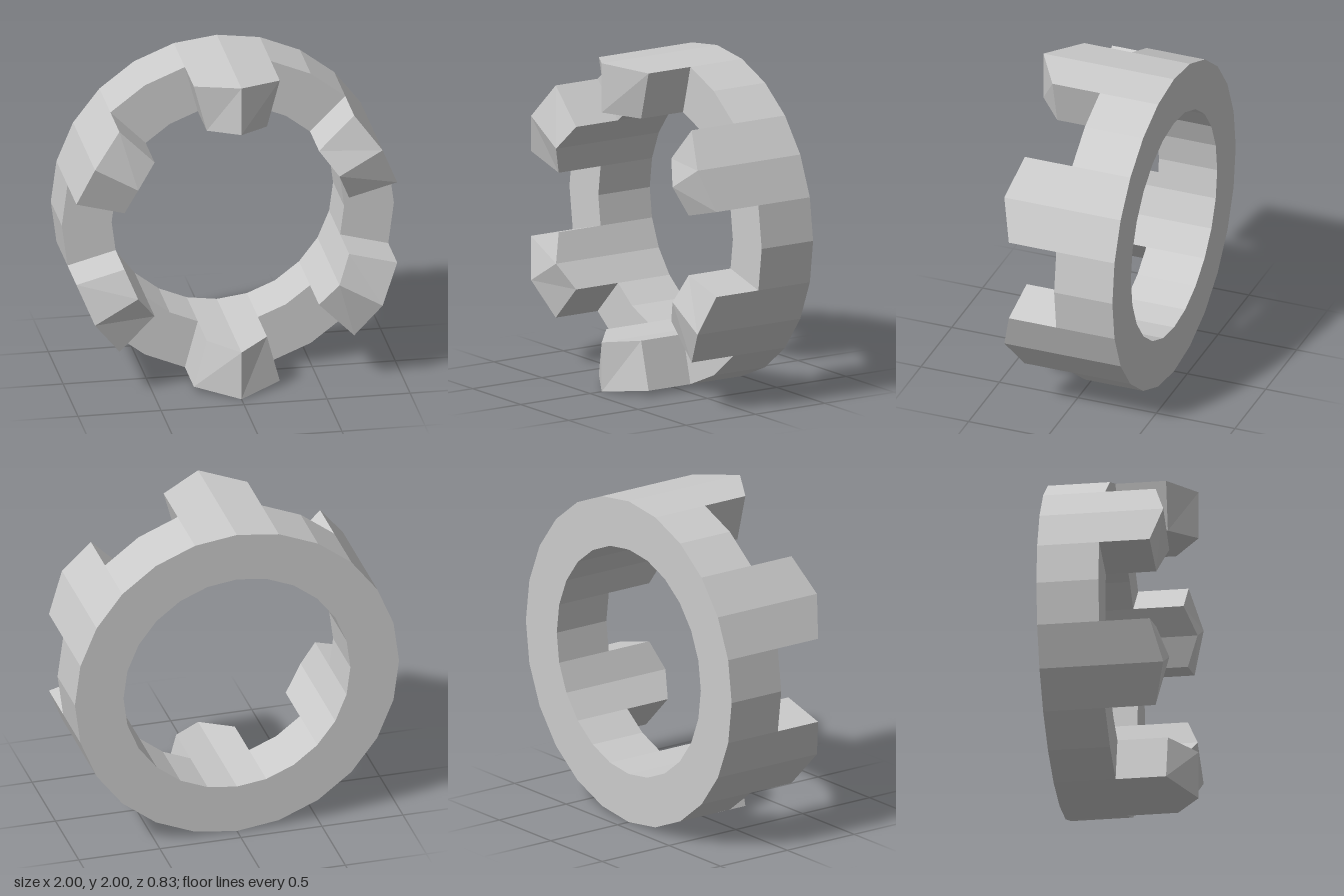
import * as THREE from 'three';

const SIDES = 24, OUTER = 1, INNER = 0.7;
const BACK = -0.416, SEAT = -0.045, SHOULDER = 0.257;

// Collects quads (corners counter-clockwise from outside) into a flat shaded mesh.
function quadMesh(name, quads) {
  const pos = [];
  for (const [a, b, c, d] of quads) for (const p of [a, b, c, a, c, d]) pos.push(...p);
  const geometry = new THREE.BufferGeometry();
  geometry.setAttribute('position', new THREE.Float32BufferAttribute(pos, 3));
  geometry.computeVertexNormals();
  const mesh = new THREE.Mesh(geometry, new THREE.MeshStandardMaterial({ color: 0xcccccc, flatShading: true }));
  mesh.name = name;
  return mesh;
}

// Point at ring step i, radius r and depth z.
function at(i, r, z) {
  const a = (i / SIDES) * Math.PI * 2;
  return [r * Math.cos(a), 1 + r * Math.sin(a), z];
}

// Outer and inner walls of one ring step; the front edge may slope from z1 to z2.
function walls(i, back, z1, z2) {
  const j = i + 1;
  return [
    [at(i, OUTER, back), at(j, OUTER, back), at(j, OUTER, z2), at(i, OUTER, z1)],
    [at(j, INNER, back), at(i, INNER, back), at(i, INNER, z1), at(j, INNER, z2)],
  ];
}

function frontFace(i, z1, z2) {
  const j = i + 1;
  return [at(i, OUTER, z1), at(j, OUTER, z2), at(j, INNER, z2), at(i, INNER, z1)];
}

export function createModel() {
  const group = new THREE.Group();
  group.name = 'castleRing';

  // Base ring: its front is only closed in the gaps between the teeth
  const ring = [];
  for (let i = 0; i < SIDES; i++) {
    ring.push(...walls(i, BACK, SEAT, SEAT));
    ring.push(frontFace(i, BACK, BACK).reverse());
    if (i % 4 === 0 || i % 4 === 3) ring.push(frontFace(i, SEAT, SEAT));
  }
  group.add(quadMesh('ring', ring));

  // Six pointed teeth, two ring steps wide; the top and bottom ones are longer
  for (let t = 0; t < 6; t++) {
    const s = t * 4 + 1, e = s + 2;
    const peak = t % 3 === 1 ? 0.416 : 0.325;
    group.add(quadMesh('tooth' + (t + 1), [
      ...walls(s, SEAT, SHOULDER, peak),
      ...walls(s + 1, SEAT, peak, SHOULDER),
      frontFace(s, SHOULDER, peak),
      frontFace(s + 1, peak, SHOULDER),
      [at(s, INNER, SEAT), at(s, OUTER, SEAT), at(s, OUTER, SHOULDER), at(s, INNER, SHOULDER)],
      [at(e, OUTER, SEAT), at(e, INNER, SEAT), at(e, INNER, SHOULDER), at(e, OUTER, SHOULDER)],
    ]));
  }
  return group;
}
